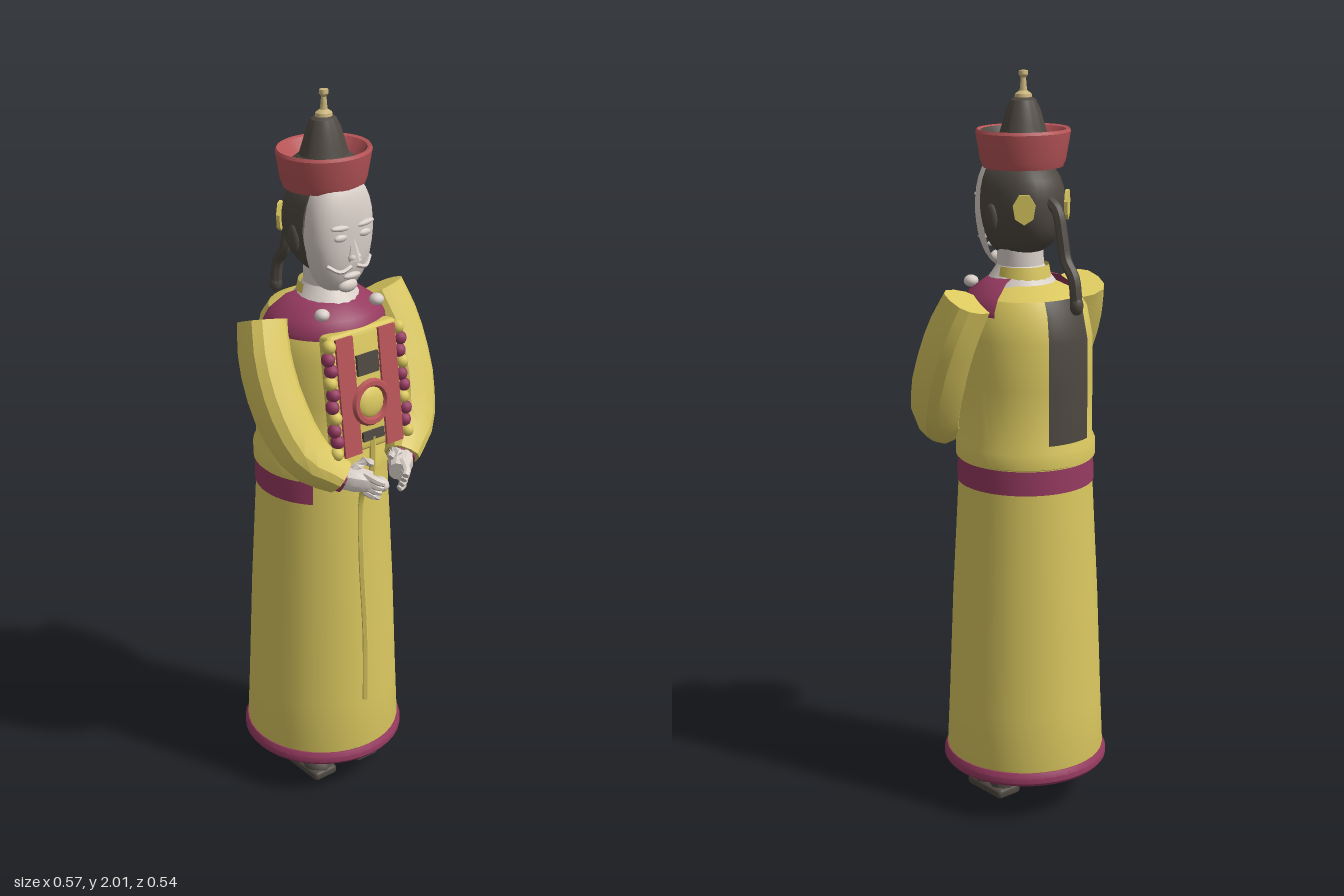
import * as THREE from 'three';
import { toCreasedNormals } from 'three/addons/utils/BufferGeometryUtils.js';
import { RoundedBoxGeometry } from 'three/addons/geometries/RoundedBoxGeometry.js';

const material = (name, color, side = THREE.FrontSide) => {
  const m = new THREE.MeshStandardMaterial({ color, side });
  m.name = name;
  return m;
};
const V = (x, y, z) => new THREE.Vector3(x, y, z);

export function createModel() {
  const yellow = material('yellow silk', 0xdac75f, THREE.DoubleSide);
  const magenta = material('magenta trim', 0x963a60, THREE.DoubleSide);
  const red = material('red felt', 0xb85558, THREE.DoubleSide);
  const dark = material('dark brown', 0x4e4841, THREE.DoubleSide);
  const skin = material('pale skin', 0xd9cfc8);
  const gold = material('dull gold', 0xc9b47c);

  const model = new THREE.Group();
  model.name = 'robedFigure';
  const AXIS = -0.047; // z of the robe's axis

  const add = (name, geo, mat, pos = [0, 0, 0], parent = model, crease = 0.5) => {
    const mesh = new THREE.Mesh(toCreasedNormals(geo, crease), mat);
    mesh.name = name;
    mesh.position.set(...pos);
    parent.add(mesh);
    return mesh;
  };
  const lathe = (pts, start = 0, length = Math.PI * 2, seg = 40) =>
    new THREE.LatheGeometry(pts.map(p => new THREE.Vector2(...p)), seg, start, length);
  const ball = (name, mat, pos, size, parent) => {
    const m = add(name, new THREE.SphereGeometry(1, 12, 8), mat, pos, parent, 0.9);
    m.scale.set(...size);
    return m;
  };
  const tube = (pts, r, seg = 16, sides = 7) =>
    new THREE.TubeGeometry(new THREE.CatmullRomCurve3(pts.map(p => V(...p))), seg, r, sides);

  // Sweep of elliptical sections [x, y, z, outward radius, depth radius], capped at both ends
  function sweep(sections, sides = 12, steps = 10) {
    const curve = new THREE.CatmullRomCurve3(sections.map(s => V(s[0], s[1], s[2])));
    const pos = [], index = [];
    for (let i = 0; i <= steps; i++) {
      const f = i / steps, k = f * (sections.length - 1);
      const lo = sections[Math.floor(k)], hi = sections[Math.ceil(k)];
      const a = THREE.MathUtils.lerp(lo[3], hi[3], k % 1), b = THREE.MathUtils.lerp(lo[4], hi[4], k % 1);
      const c = curve.getPoint(f), t = curve.getTangent(f);
      const u = V(1, 0, 0).addScaledVector(t, -t.x).normalize();
      const v = t.clone().cross(u);
      for (let j = 0; j < sides; j++) {
        const w = (j / sides) * Math.PI * 2, q = n => Math.sign(n) * Math.abs(n) ** 0.8;
        const p = c.clone().addScaledVector(u, a * q(Math.cos(w))).addScaledVector(v, b * q(Math.sin(w)));
        pos.push(p.x, p.y, p.z);
        if (i < steps) {
          const n = i * sides + j, m = i * sides + (j + 1) % sides;
          index.push(n, m, n + sides, m, m + sides, n + sides);
        }
      }
    }
    const last = steps * sides;
    for (let j = 1; j < sides - 1; j++) index.push(0, j + 1, j, last, last + j, last + j + 1);
    const geo = new THREE.BufferGeometry();
    geo.setAttribute('position', new THREE.Float32BufferAttribute(pos, 3));
    geo.setIndex(index);
    return geo;
  }

  // Robe skirt, hem and inner lining
  add('skirt', lathe([[0.214, 0.13], [0.217, 0.15], [0.21, 0.3], [0.198, 0.6], [0.182, 0.9], [0.178, 0.99]]), yellow, [0, 0, AXIS]);
  add('hem', lathe([[0.14, 0.11], [0.218, 0.105], [0.226, 0.115], [0.226, 0.13], [0.219, 0.143], [0.212, 0.143]]), magenta, [0, 0, AXIS]);
  add('skirtLining', lathe([[0, 0.2], [0.125, 0.2], [0.142, 0.11]]), yellow, [0, 0, AXIS]);
  add('belt', lathe([[0.184, 0.92], [0.182, 0.985]], 0.8, Math.PI * 2 - 1.6), magenta, [0, 0, AXIS]);

  // Jacket with flared lower edge, and the dark panel down its back
  const jacket = [[0.176, 0.985], [0.187, 0.99], [0.187, 1.03], [0.178, 1.05], [0.178, 1.2], [0.176, 1.32], [0.162, 1.39], [0.14, 1.425], [0.08, 1.455], [0, 1.455]];
  add('jacket', lathe(jacket), yellow, [0, 0, AXIS]);
  add('backPanel', lathe(jacket.slice(3, 8).map(([r, y]) => [r + 0.006, y + 0.002]), Math.PI - 0.37, 0.74, 8), dark, [0, 0, AXIS]);
  add('collarTrim', lathe([[0.165, 1.385], [0.164, 1.4], [0.147, 1.43], [0.1, 1.465], [0.06, 1.475]], -1.95, 3.9), magenta, [0, 0, AXIS + 0.005]);
  add('neckBand', lathe([[0.085, 1.43], [0.08, 1.46], [0.072, 1.5]], Math.PI / 2, Math.PI, 16), yellow, [0, 0, -0.03]);
  add('neck', lathe([[0.105, 1.44], [0.078, 1.475], [0.062, 1.5], [0.06, 1.56]], 0, Math.PI * 2, 20), skin, [0, 0, -0.025]);

  // Ornamented chest panel, leaning back at the top
  const chest = new THREE.Group();
  chest.name = 'chestPanel';
  chest.position.set(0, 1.245, 0.13);
  chest.rotation.x = -0.14;
  model.add(chest);
  add('panelBase', new RoundedBoxGeometry(0.23, 0.33, 0.05, 2, 0.015), yellow, [0, 0, -0.005], chest);
  for (const s of [-1, 1]) {
    add('redStrip', new THREE.BoxGeometry(0.055, 0.32, 0.008), red, [s * 0.07, -0.005, 0.023], chest);
    for (let i = 0; i < 10; i++) {
      ball('trimBead', i % 3 ? magenta : yellow, [s * (0.113 + 0.006 * (i % 2)), 0.14 - i * 0.032, 0.016], [0.018, 0.019, 0.02], chest);
    }
  }
  add('darkSquare', new THREE.BoxGeometry(0.07, 0.055, 0.008), dark, [0, 0.07, 0.024], chest);
  add('lowerDarkBar', new THREE.BoxGeometry(0.07, 0.025, 0.008), dark, [0, -0.125, 0.024], chest);
  add('medallionRim', new THREE.TorusGeometry(0.052, 0.012, 6, 20), red, [0, -0.035, 0.026], chest);
  ball('medallion', yellow, [0, -0.035, 0.022], [0.044, 0.044, 0.016], chest);

  // Arms, hands, feet and ears are mirrored
  for (const s of [1, -1]) {
    const side = new THREE.Group();
    side.name = s > 0 ? 'leftSide' : 'rightSide';
    model.add(side);
    const mirrored = geo => {
      if (s > 0) return geo;
      const g = geo.index ? geo.toNonIndexed() : geo;
      g.scale(-1, 1, 1);
      const p = g.attributes.position, a = V(), b = V();
      for (let i = 0; i < p.count; i += 3) { // restore corner order
        a.fromBufferAttribute(p, i + 1); b.fromBufferAttribute(p, i + 2);
        p.setXYZ(i + 1, b.x, b.y, b.z); p.setXYZ(i + 2, a.x, a.y, a.z);
      }
      return g;
    };
    add('sleeve', mirrored(sweep([
      [0.195, 1.425, -0.045, 0.062, 0.06], [0.216, 1.33, -0.005, 0.064, 0.068], [0.212, 1.2, 0.055, 0.066, 0.07],
      [0.175, 1.09, 0.115, 0.062, 0.062], [0.105, 1.03, 0.165, 0.045, 0.045]])), yellow, [0, 0, 0], side);
    add('cuffLining', mirrored(sweep([[0.115, 1.035, 0.158, 0.036, 0.036], [0.097, 1.025, 0.172, 0.036, 0.036]], 12, 1)), magenta, [0, 0, 0], side);
    add('wrist', mirrored(sweep([
      [0.105, 1.03, 0.165, 0.03, 0.03], [0.075, 1.025, 0.195, 0.034, 0.032], [0.045, 1.02, 0.222, 0.026, 0.026]], 10, 4)), skin, [0, 0, 0], side);
    for (let i = 0; i < 4; i++) {
      const y = 1.045 - i * 0.016;
      add('finger', mirrored(sweep([
        [0.065, y, 0.215, 0.011, 0.01], [0.05, y - 0.012, 0.25 - i * 0.005, 0.011, 0.01],
        [0.035, y - 0.018, 0.262 - i * 0.008, 0.009, 0.008]], 7, 4)), skin, [0, 0, 0], side);
    }
    add('thumb', mirrored(sweep([[0.08, 1.045, 0.185, 0.013, 0.013], [0.05, 1.07, 0.195, 0.012, 0.012], [0.03, 1.06, 0.205, 0.009, 0.009]], 7, 4)), skin, [0, 0, 0], side);
    ball('collarKnob', skin, [s * 0.09, 1.45, 0.07], [0.02, 0.016, 0.02], side);

    // Boots
    add('sole', new RoundedBoxGeometry(0.08, 0.028, 0.146, 2, 0.012), dark, [s * 0.077, 0.014, -0.002], side);
    ball('toe', dark, [s * 0.077, 0.025, 0.022], [0.038, 0.03, 0.046], side);
    add('bootShaft', new THREE.CylinderGeometry(0.032, 0.036, 0.085, 12), dark, [s * 0.075, 0.055, -0.036], side);
    add('bootTop', new THREE.CylinderGeometry(0.038, 0.035, 0.025, 12), yellow, [s * 0.075, 0.098, -0.036], side);
    add('leg', new THREE.CylinderGeometry(0.036, 0.034, 0.11, 12), magenta, [s * 0.075, 0.155, -0.036], side);

    // Ears and the yellow hair patches
    ball('ear', dark, [s * 0.103, 1.63, -0.03], [0.012, 0.038, 0.022], side);
    const patch = add('hairPatch', new THREE.CylinderGeometry(0.03, 0.03, 0.009, 7).rotateX(Math.PI / 2), yellow, [s * 0.073, 1.66, -0.126], side);
    patch.scale.y = 1.35;
    patch.rotation.y = Math.PI - s * 0.72;
  }

  // Head: front half is the face, back half the hair
  const headHalf = (start, rx, ry, rz) => {
    const geo = new THREE.SphereGeometry(1, 16, 18, start, Math.PI);
    const p = geo.attributes.position;
    for (let i = 0; i < p.count; i++) {
      const v = V().fromBufferAttribute(p, i);
      const n = (Math.abs(v.x) ** 2.5 + Math.abs(v.y) ** 2.5 + Math.abs(v.z) ** 2.5) ** (1 / 2.5);
      v.divideScalar(n);
      p.setXYZ(i, v.x * rx * (1 - 0.16 * Math.max(0, -v.y)), v.y * ry, v.z * rz);
    }
    return geo;
  };
  add('face', headHalf(0, 0.1, 0.158, 0.075), skin, [0, 1.64, 0.01], model, 0.8);
  add('hair', headHalf(Math.PI, 0.106, 0.135, 0.162), dark, [0, 1.655, 0.012], model, 0.8);
  const nose = add('nose', new THREE.ConeGeometry(0.02, 0.08, 5), skin, [0, 1.622, 0.083]);
  nose.rotation.x = -0.15;
  ball('noseTip', skin, [0, 1.592, 0.09], [0.02, 0.012, 0.012]);
  ball('lips', skin, [0, 1.54, 0.079], [0.028, 0.009, 0.01]);
  ball('chin', skin, [0, 1.508, 0.062], [0.03, 0.018, 0.016]);
  for (const s of [-1, 1]) {
    ball('eyelid', skin, [s * 0.038, 1.648, 0.08], [0.021, 0.01, 0.009]);
    const brow = ball('brow', skin, [s * 0.04, 1.674, 0.08], [0.03, 0.008, 0.01]);
    brow.rotation.z = s * 0.1;
    add('moustache', tube([[s * 0.008, 1.568, 0.086], [s * 0.04, 1.558, 0.083], [s * 0.07, 1.575, 0.064]], 0.006, 8, 5), skin);
  }

  // Braid hanging from the back of the head
  add('braid', tube([[0, 1.68, -0.13], [0, 1.655, -0.17], [0, 1.59, -0.19], [0, 1.53, -0.205], [0, 1.49, -0.235], [0, 1.42, -0.247]], 0.016, 20), dark);
  ball('braidTip', dark, [0, 1.42, -0.247], [0.018, 0.025, 0.018]);

  // Hat: upturned red brim, dark crown and slender finial
  const hat = new THREE.Group();
  hat.name = 'hat';
  hat.position.set(0, 0, -0.036);
  hat.scale.z = 0.91;
  model.add(hat);
  add('brim', lathe([[0, 1.755], [0.108, 1.755], [0.116, 1.775], [0.128, 1.845], [0.124, 1.853], [0.114, 1.85]]), red, [0, 0, 0], hat);
  const innerBrim = [[0.09, 1.815], [0.114, 1.85]].reverse();
  add('innerBrimBack', lathe(innerBrim, 1, Math.PI * 2 - 2), red, [0, 0, 0], hat);
  add('innerBrimFront', lathe(innerBrim, -1, 2, 16), dark, [0, 0, 0], hat);
  add('crown', lathe([[0.092, 1.815], [0.066, 1.835], [0.058, 1.86], [0.046, 1.9], [0.034, 1.925], [0.018, 1.935], [0, 1.937]]), dark, [0, 0, 0], hat);
  add('finial', lathe([[0.024, 1.93], [0.022, 1.94], [0.01, 1.948], [0.007, 1.98], [0.013, 1.988], [0.012, 1.998], [0, 2]], 0, Math.PI * 2, 14), gold, [0, 0, 0], hat);

  // Long cord hanging down the front
  add('cord', tube([[0, 1.12, 0.17], [-0.005, 1.0, 0.17], [-0.01, 0.93, 0.137], [-0.016, 0.75, 0.145], [-0.01, 0.5, 0.157], [-0.014, 0.3, 0.166]], 0.009, 30, 5), yellow);
  ball('cordKnot', skin, [0, 0.99, 0.2], [0.022, 0.02, 0.03]);

  return model;
}
